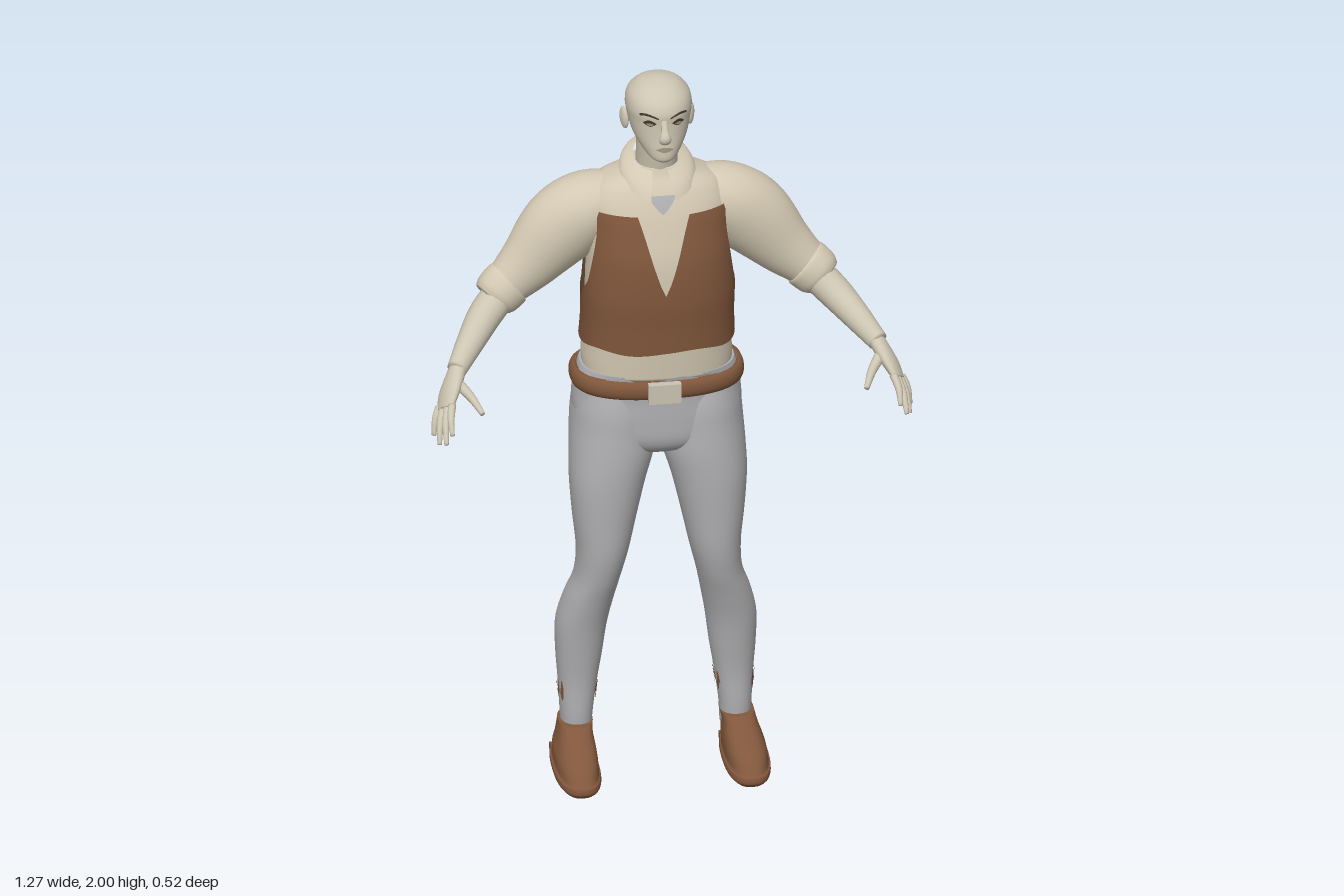
import * as THREE from 'three';
import { mergeVertices } from 'three/addons/utils/BufferGeometryUtils.js';

const PI = Math.PI, V = (x, y, z) => new THREE.Vector3(x, y, z);
const { clamp, lerp, smoothstep } = THREE.MathUtils;

// Smooth surface from a function of u and v; cap collapses the first and last rows
function grid(fn, nu, nv, cap = false) {
  const pos = [], idx = [], rows = [];
  for (let j = 0; j <= nv; j++) rows.push(Array.from({ length: nu + 1 }, (_, i) => fn(i / nu, j / nv)));
  if (cap) {
    const centre = r => { const c = V(0, 0, 0); for (let i = 0; i < nu; i++) c.add(r[i]); c.divideScalar(nu); return r.map(() => c); };
    rows.unshift(centre(rows[0]));
    rows.push(centre(rows[rows.length - 1]));
  }
  rows.forEach(r => r.forEach(p => pos.push(p.x, p.y, p.z)));
  const w = nu + 1;
  for (let j = 0; j < rows.length - 1; j++) for (let i = 0; i < nu; i++) {
    const a = j * w + i;
    idx.push(a, a + 1, a + w + 1, a, a + w + 1, a + w);
  }
  let g = new THREE.BufferGeometry();
  g.setAttribute('position', new THREE.Float32BufferAttribute(pos, 3));
  g.setIndex(idx);
  g = mergeVertices(g, 1e-5);
  g.computeVertexNormals();
  return g;
}

// Catmull-Rom through the rows of a table, t from 0 to 1
function sample(rows, t) {
  const s = clamp(t, 0, 1) * (rows.length - 1), i = Math.min(Math.floor(s), rows.length - 2), f = s - i;
  const at = k => rows[clamp(k, 0, rows.length - 1)];
  return rows[0].map((_, c) => {
    const a = at(i - 1)[c], b = at(i)[c], d = at(i + 1)[c], e = at(i + 2)[c];
    return b + 0.5 * f * (d - a + f * (2 * a - 5 * b + 4 * d - e + f * (3 * (b - d) + e - a)));
  });
}
function sampleAtY(rows, y) {
  let lo = 0, hi = 1;
  for (let k = 0; k < 24; k++) { const m = (lo + hi) / 2; if (sample(rows, m)[0] < y) lo = m; else hi = m; }
  return sample(rows, lo);
}
// Point on a horizontal section [y, xMin, xMax, zFront, zBack]; angle 0 is the front
function section([y, x0, x1, zf, zb], a, off = 0, n = 2.2) {
  const p = q => Math.sign(q) * Math.pow(Math.abs(q), 2 / n);
  return V((x0 + x1) / 2 + ((x1 - x0) / 2 + off) * p(Math.sin(a)), y, (zf + zb) / 2 + ((zf - zb) / 2 + off) * p(Math.cos(a)));
}
const loft = (rows, n, nu = 40, nv = 44) => grid((u, v) => section(sample(rows, v), u * 2 * PI, 0, n), nu, nv, true);
// Sheet lying on a loft between two angles and two height rules
const sheet = (rows, a0, a1, bottom, top, off, n, nu = 16, nv = 6) => grid((u, v) => {
  const a = lerp(a0, a1, u), y = lerp(bottom(a, u), top(a, u), v);
  return section(sampleAtY(rows, y), a, typeof off === 'function' ? off(a, y) : off, n);
}, nu, nv);
// Limb through [x, y, z, radius along ref, radius across]
function limb(pts, ref = V(0, 0, 1), nu = 18, nv = 22) {
  return grid((u, v) => {
    const p = sample(pts, v), a = sample(pts, v - 0.01), b = sample(pts, v + 0.01);
    const t = V(b[0] - a[0], b[1] - a[1], b[2] - a[2]).normalize();
    const side = ref.clone().addScaledVector(t, -ref.dot(t)).normalize(), up = t.clone().cross(side);
    return V(p[0], p[1], p[2]).addScaledVector(side, p[3] * Math.cos(u * 2 * PI)).addScaledVector(up, p[4] * Math.sin(u * 2 * PI));
  }, nu, nv, true);
}
function mirrored(geo) {
  const g = geo.clone().scale(-1, 1, 1), i = g.index.array;
  for (let k = 0; k < i.length; k += 3) [i[k], i[k + 1]] = [i[k + 1], i[k]];
  return g;
}
const even = rows => rows.map(([y, w, zf, zb]) => [y, -w, w, zf, zb]);
// Piecewise linear rule through [input, output] pairs
function ramp(table, x) {
  const i = Math.max(1, table.findIndex(p => p[0] >= x)), [a, b] = [table[i - 1], table[i]];
  return lerp(a[1], b[1], clamp((x - a[0]) / (b[0] - a[0]), 0, 1));
}

const TORSO = even([[1.165, .197, .045, -.232], [1.2, .198, .048, -.24], [1.25, .192, .052, -.228], [1.32, .189, .056, -.215],
  [1.4, .19, .062, -.212], [1.5, .186, .058, -.217], [1.58, .185, .04, -.22], [1.64, .19, .022, -.215],
  [1.69, .165, 0, -.2], [1.72, .105, -.02, -.18], [1.745, .068, -.03, -.165]]);
const PELVIS = even([[.925, .03, -.03, -.12], [.945, .12, .01, -.17], [.98, .2, .03, -.2], [1.04, .222, .034, -.222],
  [1.1, .221, .034, -.232], [1.15, .212, .04, -.232], [1.175, .203, .045, -.234]]);
const LEG = [[.1, .17, .25, -.06, -.155], [.16, .167, .253, -.055, -.16], [.25, .155, .258, -.053, -.165], [.33, .142, .264, -.043, -.175],
  [.42, .13, .265, -.028, -.18], [.5, .115, .246, -.008, -.167], [.57, .1, .222, .012, -.15], [.65, .08, .217, .028, -.15],
  [.75, .058, .227, .035, -.16], [.85, .034, .234, .04, -.175], [.93, .01, .232, .04, -.202], [1, .002, .228, .036, -.235],
  [1.06, .005, .222, .032, -.24], [1.12, .03, .205, .02, -.215]];
const SHOE = [[0, .172, .276, .105, -.165], [.012, .163, .285, .118, -.175], [.028, .164, .285, .117, -.175], [.033, .168, .28, .11, -.171],
  [.06, .168, .278, .085, -.171], [.085, .17, .27, .045, -.17], [.11, .172, .263, -.005, -.17], [.137, .168, .258, -.045, -.168]];
const HEAD = even([[1.795, .018, .043, 0], [1.805, .036, .05, -.03], [1.83, .057, .05, -.09], [1.86, .073, .047, -.13],
  [1.9, .083, .045, -.155], [1.93, .087, .045, -.165], [1.96, .08, .03, -.155], [1.985, .056, 0, -.125],
  [1.996, .028, -.033, -.093], [2, .006, -.055, -.07]]);
const VEST_TOP = [[0, 1.42], [.27, 1.635], [.92, 1.64], [1.05, 1.55], [1.25, 1.44], [1.6, 1.37], [1.92, 1.4], [2.08, 1.5], [2.18, 1.615], [PI, 1.635]];

export function createModel() {
  const root = new THREE.Group();
  root.name = 'figure';
  const mat = (name, color, side = THREE.FrontSide) => Object.assign(new THREE.MeshStandardMaterial({ color, side }), { name });
  const skin = mat('skin', 0xcdc5b2), shirt = mat('shirt cream', 0xd3c8b2), brown = mat('brown leather', 0x81573c, THREE.DoubleSide);
  const grey = mat('trouser grey', 0xb0b0b2, THREE.DoubleSide), dark = mat('eye dark', 0x43362c, THREE.DoubleSide);
  const lip = mat('lip', 0xa3937f, THREE.DoubleSide), pale = mat('buckle', 0xcac3b4), cloth = mat('collar cream', 0xd3c8b3, THREE.DoubleSide);
  const add = (name, geo, m) => { const o = new THREE.Mesh(geo, m); o.name = name; root.add(o); return o; };
  const pair = (name, geo, m) => { add(name + 'Left', geo, m); add(name + 'Right', mirrored(geo), m); };

  // Head and face
  add('head', loft(HEAD, 2.1, 40, 50), skin);
  add('neck', limb([[0, 1.67, -.1, .06, .058], [0, 1.75, -.088, .06, .055], [0, 1.85, -.07, .058, .055]], undefined, 28), skin);
  add('nose', limb([[0, 1.915, .04, .006, .009], [0, 1.89, .053, .008, .01], [0, 1.87, .06, .013, .016], [0, 1.858, .05, .009, .014]]), skin);
  const oval = (y, h) => [(a, u) => y - h * Math.sin(u * PI), (a, u) => y + h * Math.sin(u * PI)];
  pair('eye', sheet(HEAD, .22, .66, ...oval(1.908, .009), .002, 2.1), dark);
  pair('eyeWhite', sheet(HEAD, .3, .56, ...oval(1.906, .004), .004, 2.1), lip);
  pair('eyebrow', sheet(HEAD, .16, .74, (a, u) => 1.921 + .008 * Math.sin(u * 2.4), (a, u) => 1.925 + .01 * Math.sin(u * 2.4), .003, 2.1), dark);
  add('lips', sheet(HEAD, -.36, .36, ...oval(1.835, .007), .004, 2.1), lip);
  const ear = new THREE.SphereGeometry(1, 16, 12).scale(.009, .03, .019).rotateX(-.2).rotateY(-.35).translate(.088, 1.878, -.075);
  pair('ear', ear, skin);

  // Shirt body, collar and open neck
  add('shirtBody', loft(TORSO, 2.4, 56, 40), shirt);
  add('collar', grid((u, v) => {
    const a = lerp(.32, 2 * PI - .32, u), c = Math.cos(a), s = Math.sin(a), b = Math.sin(v * PI) * .008;
    return V(s * (lerp(.1, .062, v) + b), lerp(1.725 - .052 * c, 1.762 - .025 * c, v), lerp(-.075 + .108 * c, -.088 + .066 * c, v) + b * c);
  }, 40, 6), cloth);
  add('undershirt', sheet(TORSO, -.14, .14, a => 1.635 + Math.abs(a) * .3, () => 1.682, .004, 2.4), grey);

  // Sleeves with rolled cuffs, forearms
  pair('sleeve', limb([[.08, 1.645, -.11, .075, .06], [.18, 1.613, -.11, .095, .096], [.255, 1.555, -.108, .09, .106],
    [.335, 1.47, -.098, .068, .082], [.395, 1.415, -.088, .056, .063], [.43, 1.385, -.078, .05, .055]], undefined, 28, 30), shirt);
  pair('cuff', limb([[.385, 1.422, -.09, .056, .06], [.395, 1.414, -.088, .063, .068], [.425, 1.388, -.08, .061, .065], [.44, 1.375, -.075, .05, .054]], undefined, 24, 10), shirt);
  pair('forearm', limb([[.4, 1.405, -.085, .045, .046], [.46, 1.352, -.04, .045, .045], [.512, 1.305, .03, .036, .037], [.558, 1.26, .095, .025, .027]]), skin);

  // Hands
  const across = V(.42, -.42, -.8);
  pair('palm', limb([[.55, 1.268, .083, .024, .022], [.57, 1.237, .115, .035, .021], [.587, 1.21, .143, .039, .018], [.6, 1.184, .17, .034, .012]], across), skin);
  [[.593, 1.145, .25], [.609, 1.12, .25], [.622, 1.106, .217], [.63, 1.112, .172]].forEach(([x, y, z], i) => {
    const k = [lerp(.584, .611, i / 3), lerp(1.203, 1.18, i / 3), lerp(.186, .142, i / 3)];
    pair('finger' + (i + 1), limb([[...k, .011, .011], [(k[0] + x) / 2 + .004, (k[1] + y) / 2 + .006, (k[2] + z) / 2 + .003, .0095, .0095], [x, y, z, .006, .006]], across, 10, 8), skin);
  });
  pair('thumb', limb([[.562, 1.238, .122, .016, .016], [.53, 1.212, .168, .012, .012], [.508, 1.186, .217, .007, .007]], across, 10, 10), skin);

  // Waistcoat: armholes and neckline come from its top edge
  const vestOff = (a, y) => .012 + .034 * smoothstep(y, 1.46, 1.63) * Math.max(0, -Math.cos(a));
  const hem = a => 1.25 + .005 * Math.sin(a * 5);
  add('waistcoat', sheet(TORSO, -PI, PI, hem, a => ramp(VEST_TOP, Math.abs(a)), vestOff, 2.4, 160, 24), brown);

  // Trousers with a ragged waistband
  add('trouserSeat', loft(PELVIS, 2.4), grey);
  pair('trouserLeg', loft(LEG, 2.15, 36, 60), grey);
  add('waistband', sheet(PELVIS, -PI, PI, () => 1.15, a => 1.166 + .008 * Math.sin(a * 9), .004, 2.4, 90, 2), grey);

  // Belt and buckle
  add('belt', grid((u, v) => {
    const p = section([1.138, -.216, .216, .045, -.234], u * 2 * PI, .014 * Math.cos(v * 2 * PI), 2.4);
    p.y += .026 * Math.sin(v * 2 * PI);
    return p;
  }, 72, 14), brown);
  add('buckle', new THREE.BoxGeometry(.086, .054, .022).translate(-.002, 1.137, .062), pale);

  // Worn brown patches above the ankles
  [[.9, 1.45], [1.6, 1.85], [2.6, 3.5], [4.3, 4.65], [4.9, 5.4]].forEach(([a, b], i) =>
    pair('anklePatch' + (i + 1), sheet(LEG, a, b, (t, u) => .212 - .012 * Math.sin(u * 8 + i), (t, u) => .238 + .02 * Math.sin(u * 9 + i * 2), .003, 2.15), brown));

  // Shoes, heel slightly raised
  const shoe = loft(SHOE, 2.5, 40, 36), p = shoe.attributes.position;
  for (let i = 0; i < p.count; i++) {
    const y = p.getY(i), back = clamp((.1 - p.getZ(i)) / .27, 0, 1);
    p.setY(i, y + .03 * back * (1 - y / .137));
  }
  shoe.computeVertexNormals();
  pair('shoe', shoe, brown);
  pair('shoeHeel', new THREE.BoxGeometry(.096, .02, .085).translate(.224, .032, -.122), brown);
  return root;
}
